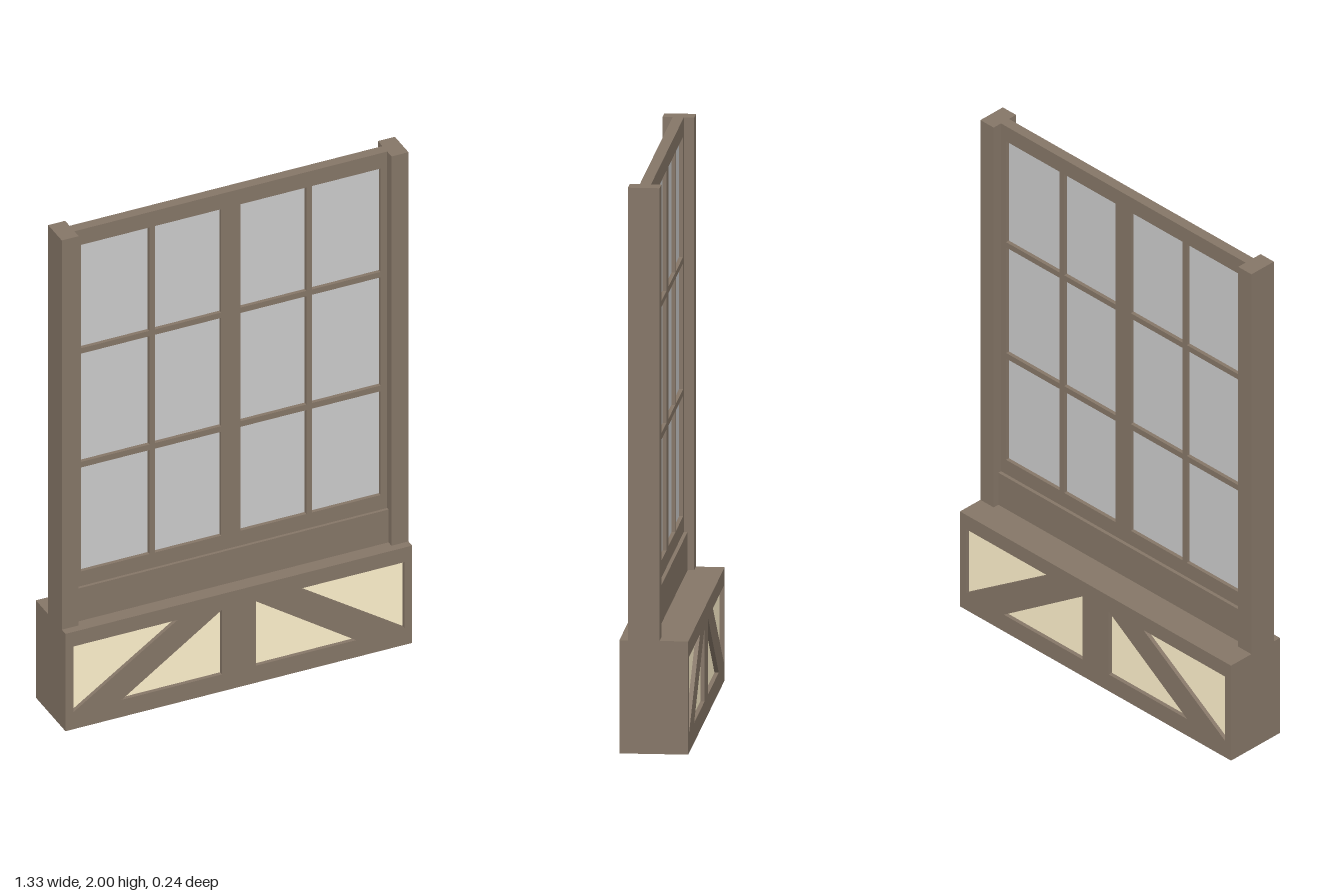
import * as THREE from 'three';

const wood = new THREE.MeshStandardMaterial({ color: 0x857667 });
const plaster = new THREE.MeshStandardMaterial({ color: 0xfff2cd });
const glass = new THREE.MeshStandardMaterial({ color: 0xcccccc });

// Box given by its min and max corners
function box(name, material, [x0, y0, z0], [x1, y1, z1]) {
  const mesh = new THREE.Mesh(new THREE.BoxGeometry(x1 - x0, y1 - y0, z1 - z0), material);
  mesh.position.set((x0 + x1) / 2, (y0 + y1) / 2, (z0 + z1) / 2);
  mesh.name = name;
  return mesh;
}

const rect = (x0, y0, x1, y1) => [[x0, y0], [x1, y0], [x1, y1], [x0, y1]];
const toPoints = (list) => list.map(([x, y]) => new THREE.Vector2(x, y));

// Flat frame with cut-outs, running from z0 to z1
function frame(name, outline, holes, z0, z1) {
  const shape = new THREE.Shape(toPoints(outline));
  holes.forEach((h) => shape.holes.push(new THREE.Path(toPoints(h))));
  const geometry = new THREE.ExtrudeGeometry(shape, { depth: z1 - z0, bevelEnabled: false });
  geometry.translate(0, 0, z0);
  const mesh = new THREE.Mesh(geometry, wood);
  mesh.name = name;
  return mesh;
}

export function createModel() {
  const model = new THREE.Group();
  model.name = 'windowWall';

  // Base wall: timber frame with diagonal braces and recessed plaster
  const triangles = [];
  for (const s of [-1, 1]) {
    triangles.push([[s * 0.635, 0.34], [s * 0.235, 0.34], [s * 0.635, 0.07]]);
    triangles.push([[s * 0.45, 0.07], [s * 0.065, 0.07], [s * 0.065, 0.335]]);
  }
  model.add(frame('baseTimberFrame', rect(-0.665, 0, 0.665, 0.4), triangles, -0.12, 0.12));
  model.add(box('plasterInfill', plaster, [-0.65, 0.05, -0.105], [0.65, 0.36, 0.105]));

  // Side posts
  for (const [name, s] of [['leftPost', 1], ['rightPost', -1]]) {
    const post = box(name, wood, [0.6, 0.4, -0.02], [0.665, 2, 0.09]);
    post.position.x *= s;
    model.add(post);
  }

  // Thicker rail under the window
  model.add(box('bottomRail', wood, [-0.6, 0.4, 0.003], [0.6, 0.535, 0.066]));

  // Window sash: four columns and three rows of panes
  const columns = [[-0.575, -0.312], [-0.29, -0.037], [0.037, 0.29], [0.312, 0.575]];
  const rows = [[0.595, 1.022], [1.045, 1.49], [1.512, 1.937]];
  const openings = [];
  for (const [x0, x1] of columns) {
    for (const [y0, y1] of rows) openings.push(rect(x0, y0, x1, y1));
  }
  model.add(frame('windowSash', rect(-0.6, 0.535, 0.6, 2), openings, 0.016, 0.055));
  model.add(box('glass', glass, [-0.59, 0.56, 0.03], [0.59, 1.96, 0.041]));

  return model;
}
